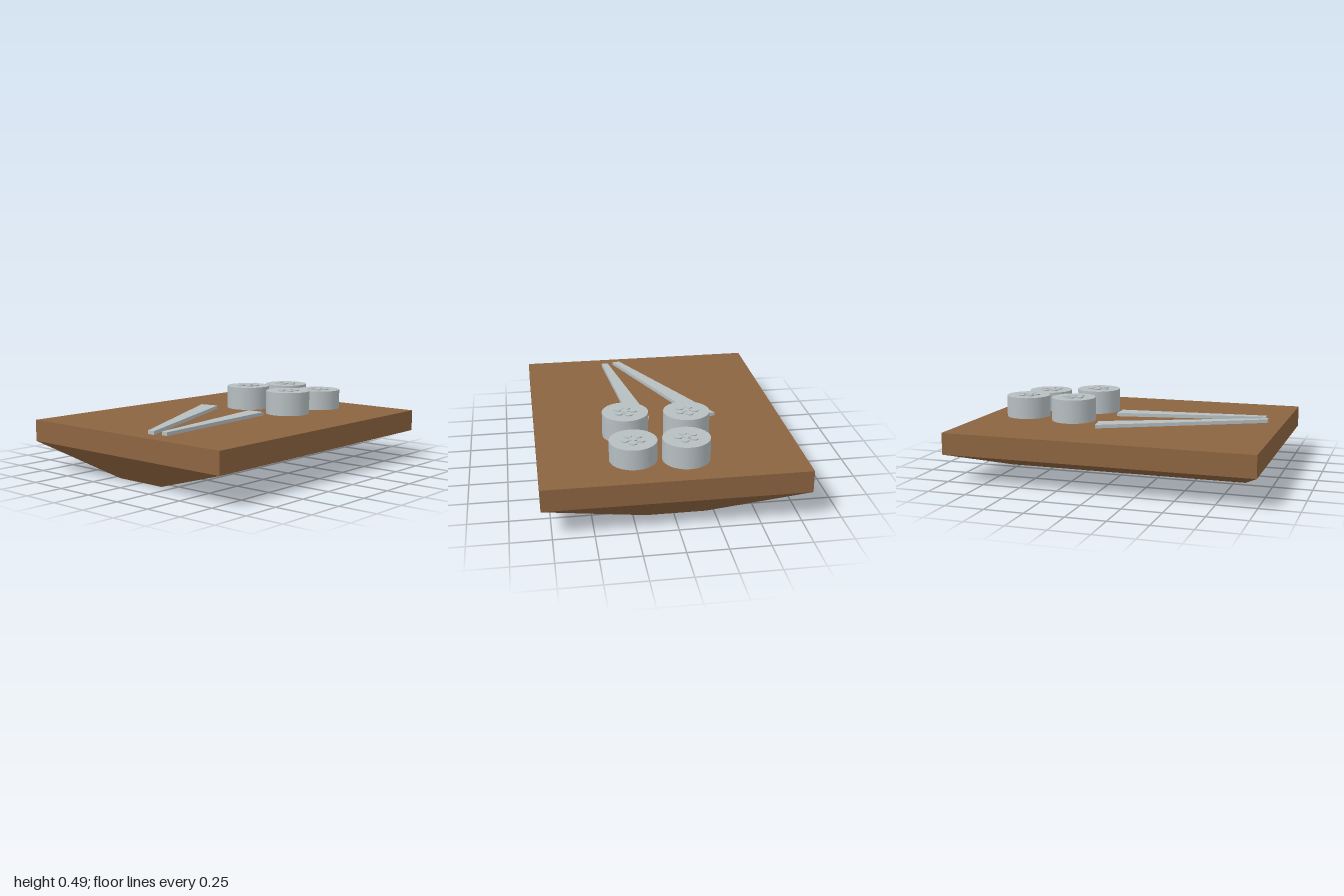
import * as THREE from 'three';

export function createModel() {
  const model = new THREE.Group();
  const wood = new THREE.MeshStandardMaterial({ color: 0x8c6440 });
  wood.name = 'brown wood';
  const grey = new THREE.MeshStandardMaterial({ color: 0xb6bec1 });
  grey.name = 'pale grey';

  const add = (parent, name, geometry, material, x = 0, y = 0, z = 0) => {
    const mesh = new THREE.Mesh(geometry, material);
    mesh.name = name;
    mesh.position.set(x, y, z);
    parent.add(mesh);
    return mesh;
  };

  // Flat serving board
  const top = 0.33, rim = 0.19;
  add(model, 'board', new THREE.BoxGeometry(2, top - rim, 1.62), wood, 0, (top + rim) / 2, 0);

  // Tapered base: a box whose lower corners are drawn inwards
  const base = new THREE.BoxGeometry(2, rim, 1.62);
  const p = base.attributes.position;
  for (let i = 0; i < p.count; i++) {
    if (p.getY(i) < 0) {
      p.setX(i, p.getX(i) < 0 ? -0.82 : 0.8);
      p.setZ(i, p.getZ(i) < 0 ? -0.2 : 0.17);
    }
  }
  base.computeVertexNormals();
  add(model, 'taperedBase', base, wood, 0, rim / 2, 0);

  // Chopsticks: tapered plan outlines (x, z) raised into thin bars
  const chopstick = (name, corners) => {
    const shape = new THREE.Shape(corners.map(([x, z]) => new THREE.Vector2(x, -z)));
    const geometry = new THREE.ExtrudeGeometry(shape, { depth: 0.023, bevelEnabled: false });
    geometry.rotateX(-Math.PI / 2);
    add(model, name, geometry, grey, 0, top, 0);
  };
  chopstick('backChopstick', [[-0.89, 0.185], [0.153, -0.255], [0.13, -0.385], [-0.89, 0.135]]);
  chopstick('frontChopstick', [[-0.865, 0.27], [0.13, 0.183], [0.13, 0.055], [-0.865, 0.225]]);

  // Rolls with a cluster of small filling discs on top: x, z, height, turn
  const rolls = [
    [0.365, -0.15, 0.155, 0.2],
    [0.72, -0.088, 0.142, 0.9],
    [0.325, 0.237, 0.155, 1.6],
    [0.685, 0.232, 0.13, 2.4],
  ];
  const filling = new THREE.CylinderGeometry(0.025, 0.025, 0.008, 16);
  for (const [x, z, height, turn] of rolls) {
    const roll = new THREE.Group();
    roll.name = 'roll';
    roll.position.set(x, top, z);
    roll.rotation.y = turn;
    model.add(roll);
    add(roll, 'rollBody', new THREE.CylinderGeometry(0.147, 0.147, height, 32), grey, 0, height / 2, 0);
    add(roll, 'filling', filling, grey, 0, height + 0.003, 0);
    for (let i = 0; i < 5; i++) {
      const a = (i / 5) * Math.PI * 2;
      add(roll, 'filling', filling, grey, 0.052 * Math.cos(a), height + 0.003, 0.052 * Math.sin(a));
    }
  }
  return model;
}
